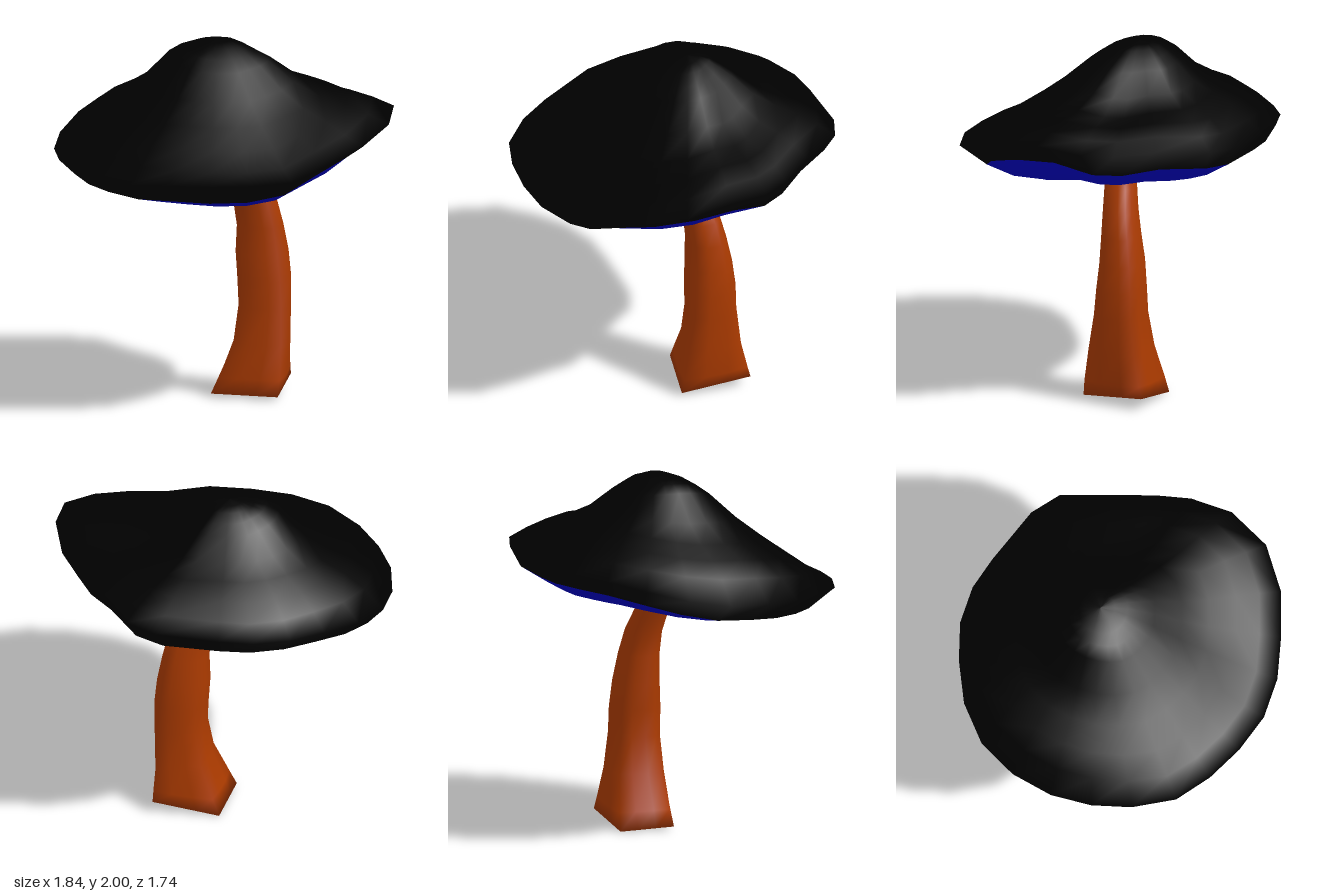
import * as THREE from 'three';

const V = (x, y, z) => new THREE.Vector3(x, y, z);
const { lerp } = THREE.MathUtils;

// Skin a smooth surface over closed rings that all have the same number of points
function loft(rings) {
  const n = rings[0].length, index = [];
  for (let i = 0; i < rings.length - 1; i++) {
    for (let j = 0; j < n; j++) {
      const k = (j + 1) % n, a = i * n, b = a + n;
      index.push(a + j, b + j, a + k, b + j, b + k, a + k);
    }
  }
  const geo = new THREE.BufferGeometry().setFromPoints(rings.flat());
  geo.setIndex(index);
  geo.computeVertexNormals();
  return geo;
}

// Wavy, tilted cap edge: x, y, z
const RIM = [
  [0.918, 1.66, 0.17], [0.86, 1.61, 0.42], [0.69, 1.53, 0.61], [0.48, 1.46, 0.73],
  [0.28, 1.39, 0.82], [0.05, 1.385, 0.865], [-0.18, 1.38, 0.84], [-0.4, 1.38, 0.78],
  [-0.6, 1.37, 0.68], [-0.76, 1.37, 0.49], [-0.86, 1.37, 0.29], [-0.92, 1.38, 0.07],
  [-0.92, 1.39, -0.17], [-0.86, 1.43, -0.4], [-0.72, 1.48, -0.59], [-0.53, 1.52, -0.73],
  [-0.34, 1.54, -0.83], [-0.13, 1.55, -0.87], [0.06, 1.56, -0.855], [0.4, 1.58, -0.8],
  [0.56, 1.6, -0.71], [0.7, 1.62, -0.45], [0.82, 1.605, -0.24], [0.89, 1.62, -0.07],
].map((p) => V(...p));

// Inner edge of the rolled-under lip, shallower at the front left
const LIP = RIM.map((r) => V(
  r.x * 0.9,
  r.y - 0.115 - 0.025 * r.x - 0.02 * r.z + 0.15 * Math.max(0, r.x) * Math.max(0, r.z),
  r.z * 0.88 - 0.05,
));

// Cap height profiles from peak to rim, towards +x, +z, -x and -z
const STEPS = [0, 0.08, 0.15, 0.22, 0.3, 0.45, 0.6, 0.75, 0.88, 1];
const PROFILES = [
  [1, 0.985, 0.94, 0.84, 0.73, 0.45, 0.28, 0.24, 0.14, 0],
  [1, 0.98, 0.94, 0.87, 0.78, 0.57, 0.39, 0.22, 0.08, 0],
  [1, 0.985, 0.96, 0.94, 0.87, 0.63, 0.47, 0.36, 0.22, 0],
  [1, 0.985, 0.96, 0.88, 0.77, 0.56, 0.45, 0.32, 0.16, 0],
];

function cap() {
  const peak = V(-0.03, 2, -0.12);
  const rings = STEPS.map((t, i) => RIM.map((r) => {
    const dx = r.x - peak.x, dz = r.z - peak.z, d2 = dx * dx + dz * dz;
    const f = (PROFILES[dx > 0 ? 0 : 2][i] * dx * dx + PROFILES[dz > 0 ? 1 : 3][i] * dz * dz) / d2;
    return V(peak.x + dx * t, r.y + (peak.y - r.y) * f, peak.z + dz * t);
  }));
  return loft([LIP, ...rings.reverse()]);
}

// Hollow underside that dips into the open top of the stem
function capUnderside() {
  // [distance inwards from the lip, blend to the middle level, extra height]
  const rows = [
    [1, 1, -0.07], [0.9, 0.97, 0.08], [0.8, 0.92, 0.05], [0.6, 0.78, 0],
    [0.4, 0.6, -0.01], [0.2, 0.38, -0.01], [0, 0, 0],
  ];
  return loft(rows.map(([s, w, h]) => LIP.map((p) => {
    const z = lerp(p.z, -0.045, s);
    const sag = 0.12 * Math.max(0, z) * Math.sin(Math.PI * s); // sags at the front
    return V(lerp(p.x, 0.09, s), lerp(p.y, 1.25, w) + h - sag, z);
  })));
}

// Foot corners: relative x and z, height
const FOOT = [[0.5, 1, 0.02], [-1, 0.34, 0.02], [-0.55, -1, 0], [1, -0.78, 0.07]];
const SECTION = FOOT.flatMap((p, i) => {
  const q = FOOT[(i + 1) % FOOT.length];
  return [0, 1 / 3, 2 / 3].map((t) => p.map((c, a) => lerp(c, q[a], t)));
});

// Stem sizes: y, min x, max x, min z, max z
const STEM = [
  [0, -0.07, 0.4, -0.31, 0.105], [0.1, -0.03, 0.405, -0.3, 0.1],
  [0.3, 0.055, 0.395, -0.265, 0.075], [0.5, 0.09, 0.39, -0.24, 0.045],
  [0.65, 0.09, 0.385, -0.235, 0.035], [0.8, 0.08, 0.37, -0.22, 0.02],
  [0.95, 0.085, 0.34, -0.195, 0.015], [1.08, 0.065, 0.305, -0.17, 0.015],
  [1.2, 0.02, 0.235, -0.145, 0.025], [1.31, -0.02, 0.19, -0.12, 0.035],
];
const TOP_NOTCH = { 10: 0.08, 11: 0.03 };

// Angular foot that becomes round further up, with a torn notch at the top
function stemRing([y, x0, x1, z0, z1], i) {
  const round = Math.min(1, i / 4);
  return SECTION.map(([u, v, foot], j) => {
    const k = lerp(1, 1.03 / Math.hypot(u, v), round);
    let h = y;
    if (i === 0) h = foot;
    if (i === 1) h += foot * 0.5;
    if (i === STEM.length - 1) h -= TOP_NOTCH[j] ?? 0;
    return V((x0 + x1 + u * k * (x1 - x0)) / 2, h, (z0 + z1 + v * k * (z1 - z0)) / 2);
  });
}

function stem() {
  const rings = STEM.map(stemRing);
  const sole = rings[0].map(() => V(0.16, 0.03, -0.1));
  return loft([sole, ...rings]);
}

export function createModel() {
  const model = new THREE.Group();
  model.name = 'mushroom';
  const add = (name, geometry, colourName, color) => {
    const material = new THREE.MeshStandardMaterial({ color });
    material.name = colourName;
    const mesh = new THREE.Mesh(geometry, material);
    mesh.name = name;
    model.add(mesh);
  };
  add('cap', cap(), 'black', 0x000000);
  add('capUnderside', capUnderside(), 'deepBlue', 0x0000d0);
  add('stem', stem(), 'orangeBrown', 0xaa3a00);
  return model;
}
